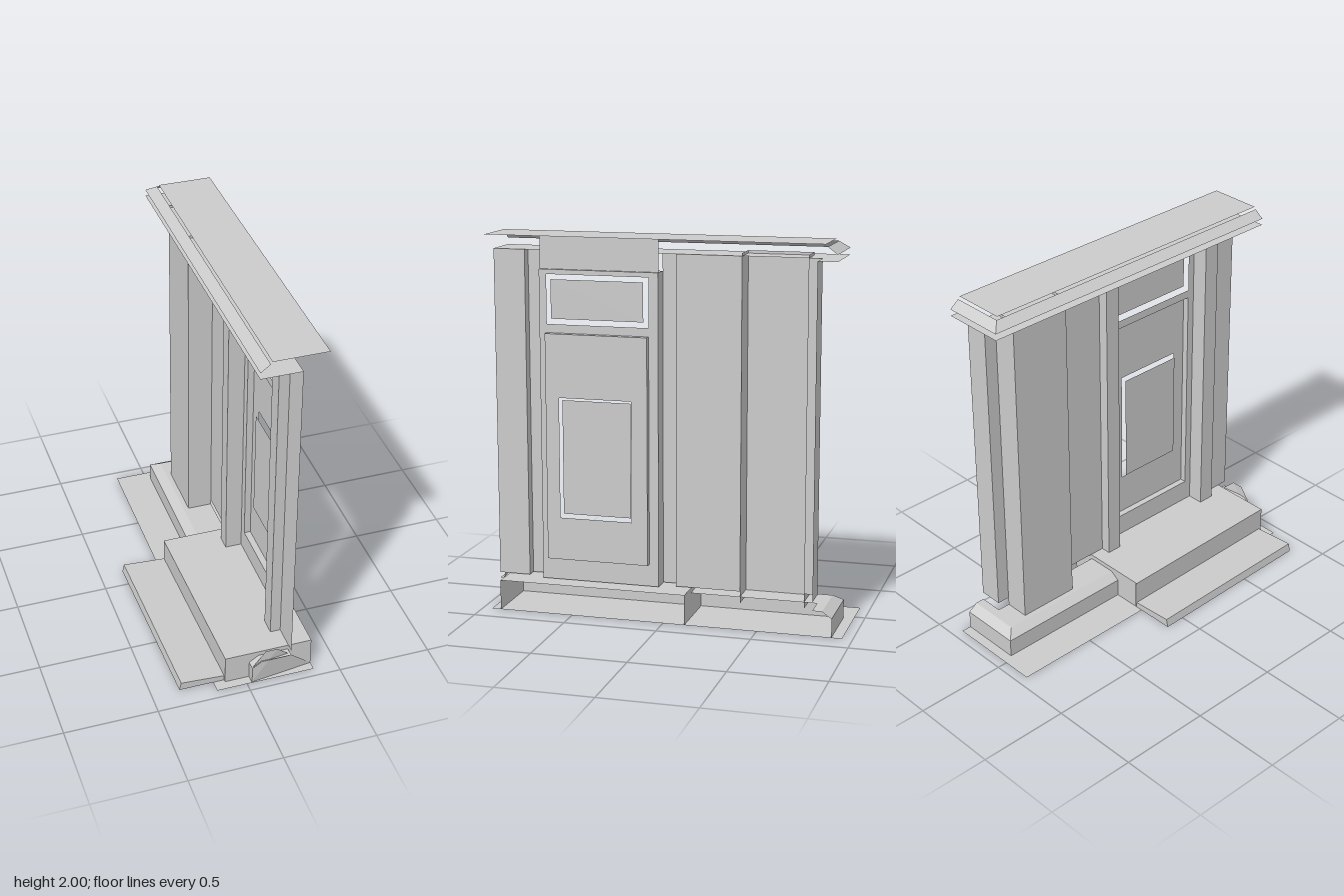
import * as THREE from 'three';

const material = new THREE.MeshStandardMaterial({ color: 0xcccccc, side: THREE.DoubleSide, flatShading: true });

// Flat polygon through a few corners, as a fan
function sheet(parent, name, ...corners) {
  const tris = [];
  for (let i = 1; i < corners.length - 1; i++) tris.push(...corners[0], ...corners[i], ...corners[i + 1]);
  const geometry = new THREE.BufferGeometry();
  geometry.setAttribute('position', new THREE.Float32BufferAttribute(tris, 3));
  geometry.computeVertexNormals();
  const mesh = new THREE.Mesh(geometry, material);
  mesh.name = name;
  parent.add(mesh);
}

// Sheets square to each axis
const wallX = (p, name, x, z0, z1, y0, y1) =>
  sheet(p, name, [x, y0, z0], [x, y0, z1], [x, y1, z1], [x, y1, z0]);
const wallZ = (p, name, z, x0, x1, y0, y1) =>
  sheet(p, name, [x0, y0, z], [x0, y1, z], [x1, y1, z], [x1, y0, z]);
const level = (p, name, y, x0, x1, z0, z1) =>
  sheet(p, name, [x0, y, z0], [x0, y, z1], [x1, y, z1], [x1, y, z0]);

// Upright panel at x with rectangular openings [z0, z1, y0, y1]
function piercedWall(p, name, x, z0, z1, y0, y1, openings) {
  const rect = (path, a, b, c, d) => path.moveTo(-a, c).lineTo(-b, c).lineTo(-b, d).lineTo(-a, d).closePath();
  const shape = rect(new THREE.Shape(), z0, z1, y0, y1);
  for (const o of openings) shape.holes.push(rect(new THREE.Path(), ...o));
  const mesh = new THREE.Mesh(new THREE.ShapeGeometry(shape), material);
  mesh.name = name;
  mesh.rotation.y = Math.PI / 2;
  mesh.position.x = x;
  p.add(mesh);
}

// Sloped moulding that turns the corner with a mitre
function bevel(p, name, y0, y1) {
  sheet(p, name, [0.027, y0, 0.95], [0.077, y1, 0.95], [0.077, y1, -0.84], [0.027, y0, -0.89]);
  sheet(p, name + 'Return', [0.027, y0, -0.89], [0.077, y1, -0.84], [0.37, y1, -0.84], [0.37, y0, -0.89]);
}

function group(parent, name) {
  const g = new THREE.Group();
  g.name = name;
  parent.add(g);
  return g;
}

export function createModel() {
  const model = new THREE.Group();
  model.name = 'doorway';

  // Plinth with bevelled top
  const base = group(model, 'plinth');
  level(base, 'groundSheet', 0, -0.165, 0.37, -0.945, 0.95);
  wallX(base, 'plinthFace', 0.027, -0.89, 0.95, 0, 0.1);
  wallZ(base, 'plinthReturn', -0.89, 0.027, 0.37, 0, 0.1);
  bevel(base, 'plinthBevel', 0.1, 0.135);
  level(base, 'plinthLedge', 0.135, 0.077, 0.24, -0.84, 0.95);
  level(base, 'plinthLedgeReturn', 0.135, 0.24, 0.37, -0.84, -0.79);
  sheet(base, 'plinthEnd', [0.027, 0, 0.945], [0.37, 0, 0.9], [0.165, 0.195, 0.945],
    [0.1, 0.195, 0.945], [0.027, 0.1, 0.945]);

  // Landing in front of the door, slightly skewed
  const porch = group(model, 'porch');
  sheet(porch, 'landingTop', [-0.125, 0.16, -0.115], [-0.105, 0.16, 0.9], [0.37, 0.16, 0.9], [0.37, 0.16, -0.115]);
  sheet(porch, 'landingRiser', [-0.125, 0, -0.115], [-0.105, 0, 0.9], [-0.105, 0.16, 0.9], [-0.125, 0.16, -0.115]);
  wallZ(porch, 'landingEnd', 0.9, -0.105, 0.37, 0, 0.16);
  wallZ(porch, 'landingEnd', -0.115, -0.12, 0.37, 0, 0.16);

  // Low step
  const s = { a: [-0.36, -0.115], b: [-0.34, 0.885], c: [-0.105, 0.885], d: [-0.125, -0.115] };
  const at = ([x, z], y) => [x, y, z];
  sheet(porch, 'stepTop', at(s.a, 0.045), at(s.b, 0.045), at(s.c, 0.03), at(s.d, 0.03));
  sheet(porch, 'stepRiser', [-0.37, 0, -0.115], [-0.35, 0, 0.885], at(s.b, 0.045), at(s.a, 0.045));
  sheet(porch, 'stepEnd', [-0.37, 0, -0.115], at(s.a, 0.045), at(s.d, 0.03), at(s.d, 0.0));
  sheet(porch, 'stepEnd', [-0.35, 0, 0.885], at(s.b, 0.045), at(s.c, 0.03), at(s.c, 0.0));

  // Walls either side of the door
  const walls = group(model, 'walls');
  wallX(walls, 'sideWall', 0.24, 0.78, 0.95, 0.165, 1.915);
  wallX(walls, 'mainWall', 0.24, -0.38, -0.035, 0.165, 1.915);
  wallX(walls, 'cornerStrip', 0.24, -0.79, -0.72, 0.18, 1.915);
  wallZ(walls, 'endWall', -0.79, 0.24, 0.37, 0.18, 1.915);

  // Corner pilaster
  wallX(walls, 'pilasterFace', 0.105, -0.72, -0.38, 0.1, 1.93);
  for (const z of [-0.72, -0.38]) wallZ(walls, 'pilasterSide', z, 0.105, 0.24, 0.1, 1.93);

  // Door casing: face, outer side and reveal, on both sides
  const door = group(model, 'door');
  for (const [outer, inner] of [[0.78, 0.69], [-0.035, 0.05]]) {
    wallX(door, 'casingFace', 0.185, Math.min(outer, inner), Math.max(outer, inner), 0.165, 1.915);
    wallZ(door, 'casingSide', outer, 0.185, 0.24, 0.165, 1.915);
    wallZ(door, 'doorReveal', inner, 0.185, 0.275, 0.165, 1.82);
  }
  level(door, 'doorHead', 1.82, 0.185, 0.275, 0.05, 0.69);
  wallX(door, 'headPanel', 0.258, 0.05, 0.69, 1.82, 2);

  // Door frame, recessed leaf and panes
  piercedWall(door, 'doorFrame', 0.275, 0.05, 0.69, 0.165, 1.82,
    [[0.1, 0.65, 0.285, 1.49], [0.1, 0.65, 1.535, 1.795]]);
  piercedWall(door, 'doorLeaf', 0.31, 0.1, 0.65, 0.285, 1.49, [[0.185, 0.577, 0.512, 1.155]]);
  for (const z of [0.1, 0.65]) wallZ(door, 'leafReveal', z, 0.275, 0.31, 0.285, 1.49);
  for (const y of [0.285, 1.49]) level(door, 'leafReveal', y, 0.275, 0.31, 0.1, 0.65);
  wallX(door, 'transomPane', 0.285, 0.125, 0.623, 1.565, 1.77);
  wallX(door, 'doorPane', 0.29, 0.195, 0.565, 0.53, 1.14);

  // Cornice: soffit, bevel and roof sheet
  const cornice = group(model, 'cornice');
  level(cornice, 'soffit', 1.915, 0.027, 0.24, -0.89, 0.95);
  level(cornice, 'soffitReturn', 1.915, 0.24, 0.37, -0.89, -0.79);
  bevel(cornice, 'corniceBevel', 1.95, 1.988);
  level(cornice, 'roofSheet', 2, 0.085, 0.37, -0.83, 0.95);

  return model;
}
